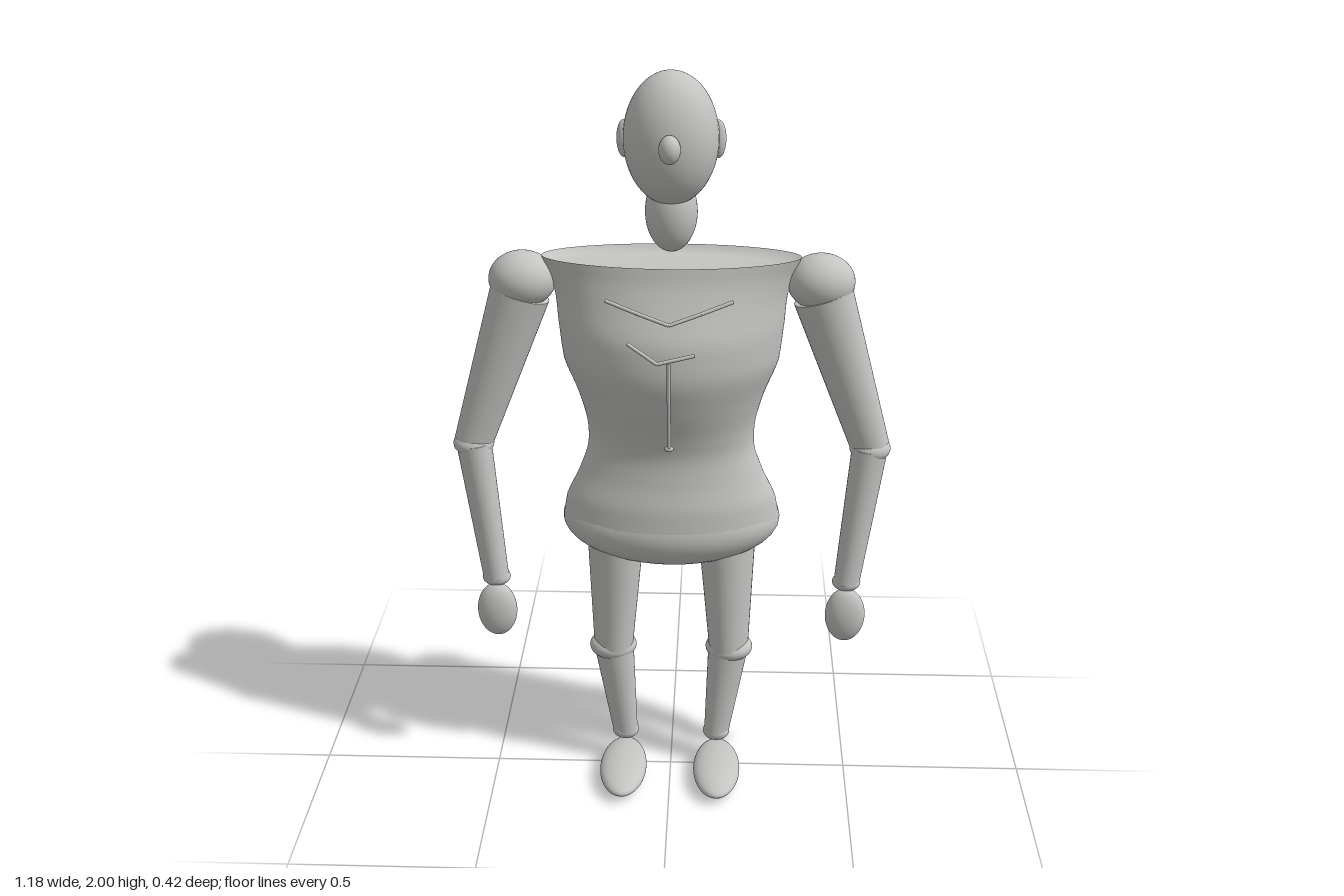
import * as THREE from 'three';

const V = (x, y, z) => new THREE.Vector3(x, y, z);

export function createModel() {
  const model = new THREE.Group();
  const grey = new THREE.MeshStandardMaterial({ color: 0xc4c5c2, side: THREE.DoubleSide });
  grey.name = 'mannequin grey';

  const add = (name, geometry, parent = model) => {
    const mesh = new THREE.Mesh(geometry, grey);
    mesh.name = name;
    parent.add(mesh);
    return mesh;
  };
  const ellipsoid = (name, pos, radii, parent) => {
    const mesh = add(name, new THREE.SphereGeometry(1, 40, 28), parent);
    mesh.position.set(...pos);
    mesh.scale.set(...radii);
    return mesh;
  };
  // tapered limb between two points; depth narrows it along z
  const limb = (name, a, b, ra, rb, depth, parent) => {
    const from = V(...a), to = V(...b), dir = to.clone().sub(from);
    const g = new THREE.CylinderGeometry(rb, ra, dir.length(), 36, 1);
    g.scale(1, 1, depth);
    const mesh = add(name, g, parent);
    mesh.position.copy(from).add(to).multiplyScalar(0.5);
    mesh.quaternion.setFromUnitVectors(V(0, 1, 0), dir.normalize());
    return mesh;
  };

  // head
  ellipsoid('head', [0, 1.832, -0.036], [0.12, 0.168, 0.106]);
  ellipsoid('nose', [0, 1.83, 0.077], [0.027, 0.036, 0.028]);
  ellipsoid('neck', [0, 1.64, -0.056], [0.067, 0.105, 0.061]);

  // torso lofted through sections: height, half width, front z, back z
  const sections = [
    [0.79, 0.294, 0.086, -0.17], [0.85, 0.283, 0.082, -0.165], [0.92, 0.25, 0.069, -0.15],
    [1.0, 0.223, 0.065, -0.14], [1.06, 0.223, 0.079, -0.141], [1.15, 0.245, 0.11, -0.15],
    [1.25, 0.283, 0.134, -0.157], [1.33, 0.292, 0.129, -0.158], [1.42, 0.3, 0.095, -0.156],
    [1.48, 0.315, 0.074, -0.153], [1.525, 0.335, 0.065, -0.152],
  ];
  const shape = new THREE.CatmullRomCurve3(sections.map(s => V(s[1], s[2], s[3])));
  const heights = new THREE.CatmullRomCurve3(sections.map(s => V(0, s[0], 0)));
  const midZ = -0.045;
  const loft = rings => {
    const N = 64, pos = [], idx = [];
    rings.forEach(([y, rx, front, back]) => {
      for (let i = 0; i < N; i++) {
        const a = (i / N) * Math.PI * 2, s = Math.sin(a);
        const z = s > 0 ? Math.pow(s, 1.2) * (front - midZ) : s * (midZ - back);
        pos.push(rx * Math.cos(a), y, midZ + z);
      }
    });
    for (let r = 0; r < rings.length - 1; r++) for (let i = 0; i < N; i++) {
      const a = r * N + i, b = r * N + (i + 1) % N;
      idx.push(a, a + N, b, b, a + N, b + N);
    }
    const g = new THREE.BufferGeometry();
    g.setAttribute('position', new THREE.Float32BufferAttribute(pos, 3));
    g.setIndex(idx);
    g.computeVertexNormals();
    return g;
  };
  const rings = [];
  for (let k = 0; k <= 50; k++) {
    const p = shape.getPoint(k / 50);
    rings.push([heights.getPoint(k / 50).y, p.x, p.y, p.z]);
  }
  add('torso', loft(rings));

  // shallow dished shoulder surface inside the rim
  const dish = [1, 0.93, 0.8, 0.5, 0.01].map((s, i) => [
    1.525 - [0, 0.014, 0.02, 0.023, 0.024][i], 0.335 * s,
    midZ + (0.065 - midZ) * s, midZ + (-0.152 - midZ) * s]);
  add('shoulderTop', loft(dish));

  // pelvis, tipped so the seat rides higher at the back
  const pelvis = ellipsoid('pelvis', [0, 0.781, -0.06], [0.297, 0.126, 0.15]);
  pelvis.rotation.x = 0.35;

  // paired parts
  for (const [side, s] of [['left', 1], ['right', -1]]) {
    ellipsoid(side + 'Ear', [s * 0.118, 1.828, -0.05], [0.019, 0.048, 0.016]);

    const arm = new THREE.Group();
    arm.name = side + 'Arm';
    model.add(arm);
    ellipsoid('shoulder', [s * 0.386, 1.457, -0.056], [0.088, 0.074, 0.076], arm);
    limb('upperArm', [s * 0.393, 1.42, -0.054], [s * 0.533, 1.0, -0.045], 0.079, 0.052, 0.85, arm);
    ellipsoid('elbow', [s * 0.533, 0.995, -0.045], [0.055, 0.036, 0.05], arm);
    limb('forearm', [s * 0.533, 0.995, -0.045], [s * 0.486, 0.6, -0.02], 0.053, 0.039, 0.88, arm);
    ellipsoid('wrist', [s * 0.485, 0.6, -0.02], [0.039, 0.025, 0.034], arm);
    ellipsoid('hand', [s * 0.484, 0.506, -0.002], [0.055, 0.081, 0.033], arm);

    const leg = new THREE.Group();
    leg.name = side + 'Leg';
    model.add(leg);
    limb('thigh', [s * 0.153, 0.76, -0.055], [s * 0.163, 0.38, -0.038], 0.09, 0.061, 0.87, leg);
    ellipsoid('knee', [s * 0.164, 0.378, -0.037], [0.066, 0.038, 0.058], leg);
    limb('shin', [s * 0.162, 0.375, -0.037], [s * 0.132, 0.1, -0.028], 0.059, 0.037, 0.86, leg);
    ellipsoid('ankle', [s * 0.131, 0.1, -0.028], [0.038, 0.028, 0.033], leg);
    ellipsoid('foot', [s * 0.133, 0.035, 0.068], [0.066, 0.031, 0.141], leg);
  }

  // thin raised lines on the chest
  const line = (name, points) => {
    for (let i = 0; i < points.length - 1; i++)
      limb(name, points[i], points[i + 1], 0.005, 0.005, 1);
  };
  line('collarLine', [[-0.16, 1.457, 0.112], [-0.08, 1.43, 0.13], [0, 1.403, 0.141],
    [0.08, 1.43, 0.13], [0.16, 1.457, 0.112]]);
  line('chestLine', [[-0.105, 1.353, 0.138], [-0.03, 1.304, 0.152], [0.065, 1.325, 0.145]]);
  line('centreLine', [[0, 1.308, 0.154], [0, 1.2, 0.143], [0, 1.06, 0.127]]);
  ellipsoid('navel', [0, 1.06, 0.126], [0.012, 0.008, 0.008]);

  return model;
}
